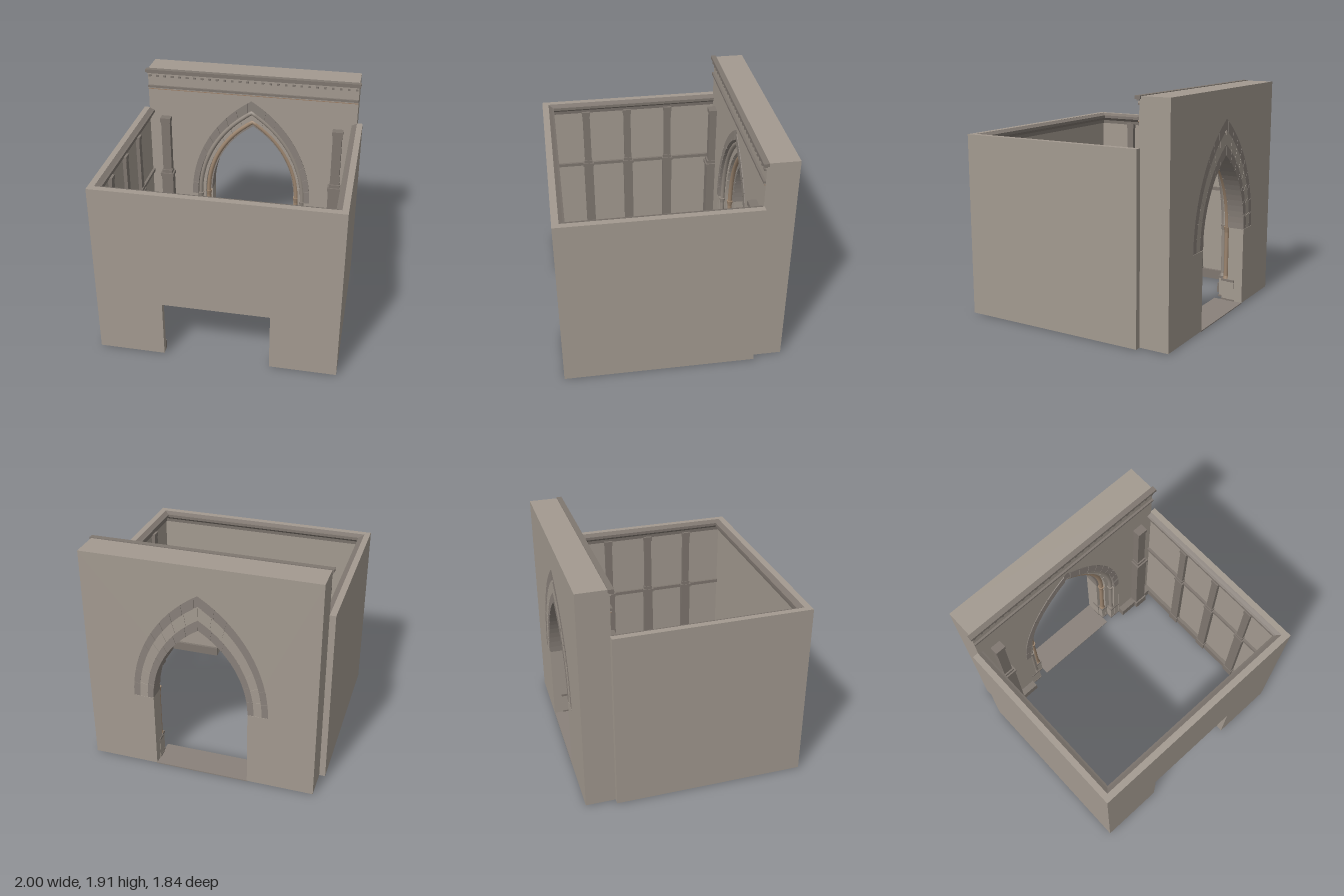
import * as THREE from 'three';

const material = (color, flatShading = true) => new THREE.MeshStandardMaterial({ color, flatShading });
const stone = material(0xa39a90);
const trim = material(0x7f7770);
const darkStone = material(0x89817a);
const warmStone = material(0x9c7f68);
const rollStone = material(0x938a81, false);
const warmRoll = material(0x9c856f, false);

const SPRING = 0.67, RISE = 1.77; // springing height, rise per half width
const FOOT = 0.006; // underside of the walls

export function createModel() {
  const root = new THREE.Group();

  const add = (name, geo, parent = root, mat = stone) => {
    const m = new THREE.Mesh(geo, mat);
    m.name = name;
    parent.add(m);
    return m;
  };
  const group = (name) => {
    const g = new THREE.Group();
    g.name = name;
    root.add(g);
    return g;
  };
  // Box given by its limits
  const box = (name, x0, x1, y0, y1, z0, z1, parent = root, mat = stone) => {
    const g = new THREE.BoxGeometry(Math.abs(x1 - x0), y1 - y0, Math.abs(z1 - z0));
    g.translate((x0 + x1) / 2, (y0 + y1) / 2, (z0 + z1) / 2);
    return add(name, g, parent, mat);
  };
  const extrude = (name, pts, z0, z1, parent = root, mat = stone) => {
    const g = new THREE.ExtrudeGeometry(new THREE.Shape(pts), { depth: z1 - z0, bevelEnabled: false });
    g.translate(0, 0, z0);
    return add(name, g, parent, mat);
  };
  const v = (x, y) => new THREE.Vector2(x, y);

  // Pointed arch of half width a: point at t = 0 (springing) to 1 (x = xEnd near the apex)
  const archPoint = (a, t, xEnd = 0) => {
    const R = a * (1 + RISE * RISE) / 2;
    const ang = t * Math.acos((R - a + xEnd) / R);
    return v(a - R + R * Math.cos(ang), SPRING + R * Math.sin(ang));
  };
  // Arch curve from the right springing over the apex to the left one
  const arch = (a) => {
    const right = [];
    for (let i = 0; i <= 16; i++) right.push(archPoint(a, i / 16));
    return [...right, ...right.slice(0, -1).reverse().map(p => v(-p.x, p.y))];
  };

  // Portal wall with its pointed opening
  const open = 0.5625;
  extrude('portalWall', [v(0.95, FOOT), v(0.95, 1.905), v(-0.95, 1.905), v(-0.95, FOOT),
    v(-open, FOOT), ...arch(open).reverse(), v(open, FOOT)], -0.92, -0.665);
  box('threshold', -0.4, 0.4, 0, 0.008, -0.92, -0.66, root, darkStone);

  // Stepped arch orders: outer and inner half width, front z, stones per side, colour
  const portal = group('portalArch');
  const orders = [
    [open, 0.51, -0.668, 9, darkStone],
    [0.51, 0.445, -0.725, 8, stone],
    [0.445, 0.395, -0.785, 7, darkStone],
  ];
  orders.forEach(([a, b, zf, n, mat], k) => {
    extrude('archOrder', [...arch(a), ...arch(b).reverse()], -0.915, zf, portal, mat);
    for (const s of [1, -1]) {
      box('jamb', s * b, s * a, FOOT, SPRING, -0.92, zf, portal);

      // Voussoirs with open joints on both faces, leaving a key gap in the outer order
      for (let i = 0; i < n; i++) {
        const pts = [], t0 = (i + 0.02) / n, t1 = (i + 0.98) / n, xEnd = k === 0 ? 0.03 : 0;
        for (let j = 0; j <= 3; j++) pts.push(archPoint(a, t0 + (t1 - t0) * j / 3, xEnd));
        for (let j = 3; j >= 0; j--) pts.push(archPoint(b, t0 + (t1 - t0) * j / 3, xEnd));
        pts.forEach(p => { p.x *= s; });
        extrude('voussoir', pts, zf, zf + 0.01, portal, mat);
        extrude('backVoussoir', pts, -0.92, -0.915, portal, mat);
      }

      // Pedestals under the jambs
      const w = k < 2 ? b - 0.045 : b - 0.003;
      const z = k < 2 ? zf - 0.002 : zf + 0.008;
      box('jambPedestal', s * w, s * a, FOOT, 0.18, zf - 0.06, z, portal);
      box('pedestalCap', s * (w - 0.003), s * a, 0.18, 0.2, zf - 0.06, z + 0.006, portal, trim);
      box('pedestalFoot', s * (w - 0.003), s * a, FOOT, 0.022, zf - 0.06, z + 0.006, portal, trim);
    }

    // Roll moulding in each inner step, with shafts and capitals below
    if (k < 2) {
      const r = 0.02, c = b - r, z = zf - 0.028, rollMat = k ? warmRoll : rollStone;
      const path = arch(c).map(p => new THREE.Vector3(p.x, p.y, z));
      add('archRoll', new THREE.TubeGeometry(new THREE.CatmullRomCurve3(path), 48, r, 8), portal, rollMat);
      for (const s of [1, -1]) {
        const cyl = (name, r0, r1, y0, y1) => add(name,
          new THREE.CylinderGeometry(r1, r0, y1 - y0, 10).translate(s * c, (y0 + y1) / 2, z), portal, rollMat);
        cyl('jambShaft', r, r, 0.2, SPRING);
        cyl('shaftBase', 0.028, r, 0.2, 0.225);
        cyl('shaftCapital', r, 0.03, SPRING - 0.05, SPRING);
      }
    }
  });

  // Crowning cornice, dentils and string course on the inner face of the portal wall
  const crown = group('portalCornice');
  box('crownSlab', -0.965, 0.965, 1.885, 1.91, -0.68, -0.635, crown, trim);
  box('crownFillet', -0.955, 0.955, 1.873, 1.885, -0.67, -0.643, crown, trim);
  box('dentilBand', -0.95, 0.95, 1.855, 1.869, -0.67, -0.655, crown);
  for (let i = 0; i < 28; i++) {
    const x = -0.93 + i * 1.86 / 27;
    box('dentil', x - 0.011, x + 0.011, 1.84, 1.858, -0.67, -0.648, crown, trim);
  }
  box('stringCourseTop', -0.95, 0.95, 1.735, 1.755, -0.67, -0.647, crown, trim);
  box('stringCourseMiddle', -0.95, 0.95, 1.726, 1.735, -0.67, -0.653, crown);
  box('stringCourseBottom', -0.95, 0.95, 1.718, 1.726, -0.67, -0.656, crown, warmStone);

  // Front wall with the doorway
  extrude('frontWall', [v(-1, FOOT), v(-0.445, FOOT), v(-0.445, 0.51), v(0.445, 0.51),
    v(0.445, FOOT), v(1, FOOT), v(1, 1.53), v(-1, 1.53)], 0.865, 0.92);

  // Pilaster against a wall at z = 0, facing +z: plinth, pedestal, cap, shaft and head
  const pilaster = (name, w, d, top) => {
    const g = group(name);
    const block = (part, half, y0, y1, depth) => box(part, -half, half, y0, y1, 0, depth, g, trim);
    block('plinth', w / 2 + 0.008, FOOT, 0.1, d);
    block('pedestal', w / 2, 0.1, 0.87, d * 0.85);
    block('pedestalCap', w / 2 + 0.008, 0.87, 0.9, d);
    block('shaftFoot', w * 0.44, 0.9, 0.93, d * 0.85);
    block('shaft', w * 0.38, 0.93, top - 0.04, d * 0.7);
    block('head', w * 0.44, top - 0.04, top, d * 0.8);
    return g;
  };

  // Cornice along a wall top: profile (out from wall, height) swept by length
  const cornice = (length) => extrude('wallCornice', [v(0, 1.43), v(0.012, 1.43), v(0.015, 1.46),
    v(0.035, 1.48), v(0.045, 1.485), v(0.045, 1.51), v(0.03, 1.515), v(0, 1.529)],
    -length / 2, length / 2, root, trim);

  for (const s of [1, -1]) {
    // Side wall, skirting, chair rail and cornice
    box('sideWall', s * 0.95, s, FOOT, 1.53, -0.673, 0.865);
    box('skirting', s * 0.92, s * 0.95, FOOT, 0.09, -0.665, 0.865, root, trim);
    box('chairRail', s * 0.928, s * 0.95, 0.87, 0.9, -0.665, 0.865, root, trim);
    const c = cornice(1.53);
    c.position.set(s * 0.95, 0, 0.1);
    c.rotation.y = s > 0 ? Math.PI : 0;

    // Side pilasters
    for (const z of [0.53, 0.15, -0.23]) {
      const p = pilaster('sidePilaster', 0.085, 0.045, 1.44);
      p.position.set(s * 0.95, 0, z);
      p.rotation.y = -s * Math.PI / 2;
    }

    // Pilaster and skirting flanking the portal
    pilaster('portalPilaster', 0.108, 0.09, 1.46).position.set(s * 0.79, 0, -0.665);
    box('portalSkirting', s * 0.57, s * 0.95, FOOT, 0.09, -0.67, -0.605, root, trim);

    // Front wall skirting beside the doorway
    box('frontSkirting', s * 0.445, s * 0.95, FOOT, 0.09, 0.84, 0.865, root, trim);
  }
  const frontCornice = cornice(1.9);
  frontCornice.position.set(0, 0, 0.865);
  frontCornice.rotation.y = Math.PI / 2;

  return root;
}
